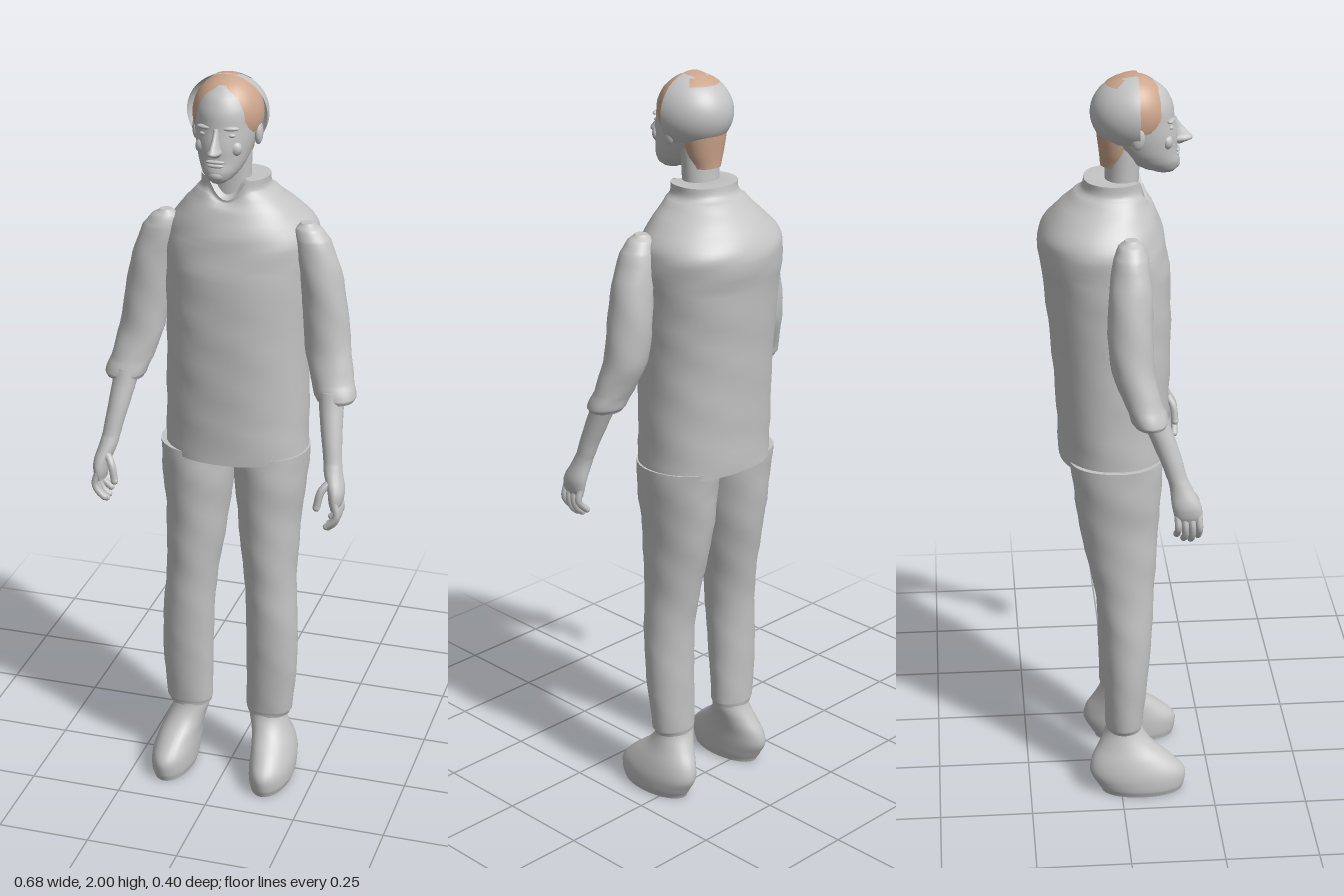
import * as THREE from 'three';

const grey = new THREE.MeshStandardMaterial({ color: 0xc4c4c4, side: THREE.DoubleSide });
grey.name = 'plain grey';
const tan = new THREE.MeshStandardMaterial({ color: 0xcca58c, side: THREE.DoubleSide });
tan.name = 'hair tan';

// Smooth skin over horizontal rings [y, cx, cz, rx, rz], listed bottom to top
function loft(rings, { n = 32, steps = 4, power = 1, wrinkle = 0, rule = null } = {}) {
  const at = i => rings[Math.max(0, Math.min(rings.length - 1, i))];
  const rows = [];
  for (let i = 0; i < rings.length - 1; i++) {
    for (let s = 0; s < steps; s++) {
      const t = s / steps;
      rows.push(at(i).map((b, k) => {
        const a = at(i - 1)[k], c = at(i + 1)[k], d = at(i + 2)[k];
        if (k === 0) return b + (c - b) * t;
        return b + 0.5 * t * (c - a + t * (2 * a - 5 * b + 4 * c - d + t * (3 * (b - c) + d - a)));
      }));
    }
  }
  rows.push(at(rings.length));
  const pos = [], idx = [];
  const pw = v => Math.sign(v) * Math.abs(v) ** power;
  const addRow = ([y, cx, cz, rx, rz]) => {
    for (let j = 0; j < n; j++) {
      const a = (j / n) * Math.PI * 2;
      const f = 1 + wrinkle * (Math.sin(y * 47 + a * 3) + Math.sin(y * 83 - a * 5));
      const p = new THREE.Vector3(cx + rx * f * pw(Math.cos(a)), y, cz - rz * f * pw(Math.sin(a)));
      if (rule) rule(p);
      pos.push(p.x, p.y, p.z);
    }
  };
  rows.forEach(addRow);
  for (let i = 0; i < rows.length - 1; i++) {
    for (let j = 0; j < n; j++) {
      const a = i * n + j, b = i * n + (j + 1) % n;
      idx.push(a, b, a + n, b, b + n, a + n);
    }
  }
  // Flat ends with their own corners
  for (const [row, top] of [[rows[0], false], [rows[rows.length - 1], true]]) {
    const base = pos.length / 3;
    addRow(row);
    pos.push(row[1], row[0], row[2]);
    for (let j = 0; j < n; j++) {
      const a = base + j, b = base + (j + 1) % n;
      idx.push(base + n, top ? a : b, top ? b : a);
    }
  }
  const g = new THREE.BufferGeometry();
  g.setAttribute('position', new THREE.Float32BufferAttribute(pos, 3));
  g.setIndex(idx);
  g.computeVertexNormals();
  return g;
}

function add(parent, name, geometry, material = grey) {
  const m = new THREE.Mesh(geometry, material);
  m.name = name;
  parent.add(m);
  return m;
}

function ball(parent, name, p, r, material = grey) {
  const m = add(parent, name, new THREE.SphereGeometry(1, 16, 12), material);
  m.position.set(...p);
  m.scale.set(...r);
  return m;
}

// The figure leans slightly, so limbs shift to its left with height
const lean = y => 0.0155 * y - 0.005;
const mirrored = (rings, side) => rings.map(([y, x, ...r]) => [y, side * x + lean(y), ...r]);

function makeLeg(side) {
  const leg = new THREE.Group();
  leg.name = side > 0 ? 'leftLeg' : 'rightLeg';
  add(leg, 'trouserLeg', loft(mirrored([
    [0.185, 0.113, 0.01, 0.058, 0.048], [0.2, 0.115, 0.01, 0.064, 0.051],
    [0.35, 0.12, 0.015, 0.07, 0.06], [0.5, 0.117, 0.018, 0.07, 0.068],
    [0.6, 0.11, 0.012, 0.07, 0.078], [0.7, 0.104, 0.005, 0.078, 0.092],
    [0.8, 0.1, -0.003, 0.085, 0.105], [0.9, 0.1, -0.005, 0.096, 0.115],
    [0.99, 0.1, -0.01, 0.1, 0.121]], side), { wrinkle: 0.008 }));
  add(leg, 'shoe', loft(mirrored([
    [0, 0.14, 0.058, 0.053, 0.11], [0.02, 0.141, 0.056, 0.059, 0.119],
    [0.06, 0.14, 0.045, 0.06, 0.13], [0.1, 0.134, 0.028, 0.056, 0.108],
    [0.14, 0.122, 0.014, 0.052, 0.072], [0.18, 0.11, 0.01, 0.05, 0.05],
    [0.22, 0.108, 0.01, 0.045, 0.045]], side)));
  return leg;
}

function makeArm(side) {
  const arm = new THREE.Group();
  arm.name = side > 0 ? 'leftArm' : 'rightArm';
  add(arm, 'sleeve', loft(mirrored([
    [1.168, 0.284, 0.063, 0.048, 0.04], [1.18, 0.283, 0.06, 0.055, 0.046],
    [1.22, 0.27, 0.046, 0.056, 0.047], [1.3, 0.25, 0.022, 0.06, 0.054],
    [1.4, 0.238, 0.016, 0.058, 0.057], [1.5, 0.222, 0.018, 0.055, 0.054],
    [1.58, 0.2, 0.02, 0.048, 0.044], [1.61, 0.19, 0.021, 0.035, 0.032],
    [1.625, 0.186, 0.022, 0.016, 0.016]], side), { wrinkle: 0.012 }));
  add(arm, 'forearmAndPalm', loft(mirrored([
    [0.91, 0.318, 0.157, 0.012, 0.03], [0.93, 0.319, 0.157, 0.018, 0.036],
    [0.96, 0.317, 0.152, 0.022, 0.037], [1.0, 0.305, 0.14, 0.024, 0.029],
    [1.03, 0.299, 0.128, 0.024, 0.026], [1.1, 0.288, 0.105, 0.028, 0.03],
    [1.2, 0.275, 0.07, 0.034, 0.034]], side), { n: 20 }));
  // Curled fingers side by side, and a thumb on the inner front
  const digit = (name, pts, r) => {
    const v = pts.map(([x, y, z]) => new THREE.Vector3(side * x + lean(y), y, z));
    add(arm, name, new THREE.TubeGeometry(new THREE.CatmullRomCurve3(v), 10, r, 8));
    const tip = v[v.length - 1];
    ball(arm, name + 'Tip', tip.toArray(), [r, r, r]);
  };
  for (let i = 0; i < 4; i++) {
    const z = 0.13 + i * 0.018, drop = [0.015, 0.003, 0, 0.01][i];
    digit('finger', [[0.32, 0.935, z], [0.328, 0.9, z + 0.002],
      [0.318, 0.87 + drop, z + 0.002], [0.302, 0.855 + drop, z]], 0.009);
  }
  digit('thumb', [[0.305, 0.985, 0.16], [0.284, 0.96, 0.178], [0.274, 0.915, 0.183]], 0.01);
  return arm;
}

function makeHead() {
  const head = new THREE.Group();
  head.name = 'head';
  const cx = 0.005;
  add(head, 'neck', loft([[1.62, cx, 0.005, 0.058, 0.052], [1.7, cx, 0.01, 0.052, 0.044],
    [1.82, cx, 0.015, 0.054, 0.044]]));
  add(head, 'faceAndSkull', loft([
    [1.745, cx, 0.118, 0.018, 0.024], [1.755, cx, 0.108, 0.034, 0.044],
    [1.775, cx, 0.09, 0.05, 0.067], [1.8, cx, 0.075, 0.062, 0.077],
    [1.84, cx, 0.056, 0.073, 0.095], [1.88, cx, 0.044, 0.079, 0.1],
    [1.92, cx, 0.042, 0.078, 0.097], [1.955, cx, 0.04, 0.063, 0.082],
    [1.98, cx, 0.038, 0.038, 0.053], [1.992, cx, 0.036, 0.012, 0.016]]));
  add(head, 'nose', loft([[1.817, cx, 0.146, 0.012, 0.018], [1.828, cx, 0.155, 0.018, 0.034],
    [1.84, cx, 0.152, 0.013, 0.031], [1.86, cx, 0.142, 0.009, 0.022],
    [1.885, cx, 0.135, 0.008, 0.013]], { n: 14 }));
  ball(head, 'upperLip', [cx, 1.803, 0.15], [0.025, 0.005, 0.008]);
  ball(head, 'lowerLip', [cx, 1.793, 0.148], [0.022, 0.006, 0.009]);
  ball(head, 'chin', [cx, 1.768, 0.137], [0.024, 0.018, 0.022]);
  for (const s of [-1, 1]) {
    ball(head, 'eye', [cx + s * 0.033, 1.868, 0.13], [0.013, 0.006, 0.008]);
    ball(head, 'brow', [cx + s * 0.034, 1.885, 0.131], [0.021, 0.006, 0.009]).rotation.y = s * 0.3;
    ball(head, 'cheek', [cx + s * 0.04, 1.833, 0.121], [0.02, 0.02, 0.015]);
    ball(head, 'ear', [cx + s * 0.08, 1.855, 0.045], [0.011, 0.03, 0.018]);
  }
  // Tan hair at the temples, crown and nape
  const hair = add(head, 'templeHair', new THREE.SphereGeometry(1, 40, 20, 0, Math.PI * 2, 0, 1.95), tan);
  hair.position.set(cx, 1.9, 0.037);
  hair.scale.set(0.089, 0.097, 0.094);
  add(head, 'napeHair', loft([[1.765, cx, -0.003, 0.042, 0.04], [1.8, cx, -0.002, 0.053, 0.044],
    [1.85, cx, 0, 0.062, 0.052]]), tan);

  // Rounded shell over the back half of the head, cut level below the ears
  const c = new THREE.Vector3(cx, 1.9, 0.05), r = new THREE.Vector3(0.104, 0.098, 0.118);
  const shell = (name, scale, theta, phi, material) => {
    const g = new THREE.SphereGeometry(1, 32, 24, 1.5 * Math.PI - phi, 2 * phi, ...theta);
    g.rotateY(Math.PI);
    // SphereGeometry's phi of 3/2 pi faces -z; the turn above is undone here
    g.rotateY(Math.PI);
    const m = add(head, name, g, material);
    m.position.copy(c);
    m.scale.copy(r).multiplyScalar(scale);
  };
  shell('backCap', 1, [0, 2.32], Math.PI / 2, grey);
  shell('crownPatch', 1.012, [0.43, 0.3], 0.85, tan);
  // Arched notch at the front of the shell
  const notch = new THREE.PlaneGeometry(2, 1, 8, 8);
  const p = notch.attributes.position;
  for (let i = 0; i < p.count; i++) {
    const t = p.getY(i) + 0.5;
    const x = p.getX(i) * 0.026 * Math.sqrt(1 - t ** 4), z = -0.045 * t;
    p.setXYZ(i, cx + x, 1.902 + r.y * Math.sqrt(1 - (x / r.x) ** 2 - (z / r.z) ** 2), c.z + z);
  }
  notch.computeVertexNormals();
  add(head, 'capNotch', notch, tan);
  return head;
}

export function createModel() {
  const figure = new THREE.Group();
  figure.name = 'standingFigure';
  // Jacket with a short collar that dips at the throat
  add(figure, 'jacket', loft([
    [0.975, 0.015, -0.01, 0.19, 0.145], [1.1, 0.015, -0.012, 0.189, 0.147],
    [1.3, 0.016, -0.017, 0.188, 0.156], [1.48, 0.02, -0.028, 0.196, 0.164],
    [1.56, 0.022, -0.039, 0.2, 0.163], [1.6, 0.022, -0.039, 0.188, 0.153],
    [1.65, 0.018, -0.028, 0.145, 0.124], [1.69, 0.014, -0.016, 0.105, 0.094],
    [1.705, 0.012, -0.01, 0.09, 0.08], [1.73, 0.012, -0.008, 0.088, 0.077]], {
    n: 48, power: 0.92, wrinkle: 0.006,
    rule: v => {
      const throat = Math.max(0, 1 - ((v.x - 0.008) / 0.05) ** 2);
      if (v.z > 0 && v.y > 1.66) v.y -= (v.y - 1.66) * 0.75 * throat;
    },
  }));
  for (const side of [-1, 1]) figure.add(makeLeg(side), makeArm(side));
  figure.add(makeHead());
  return figure;
}
